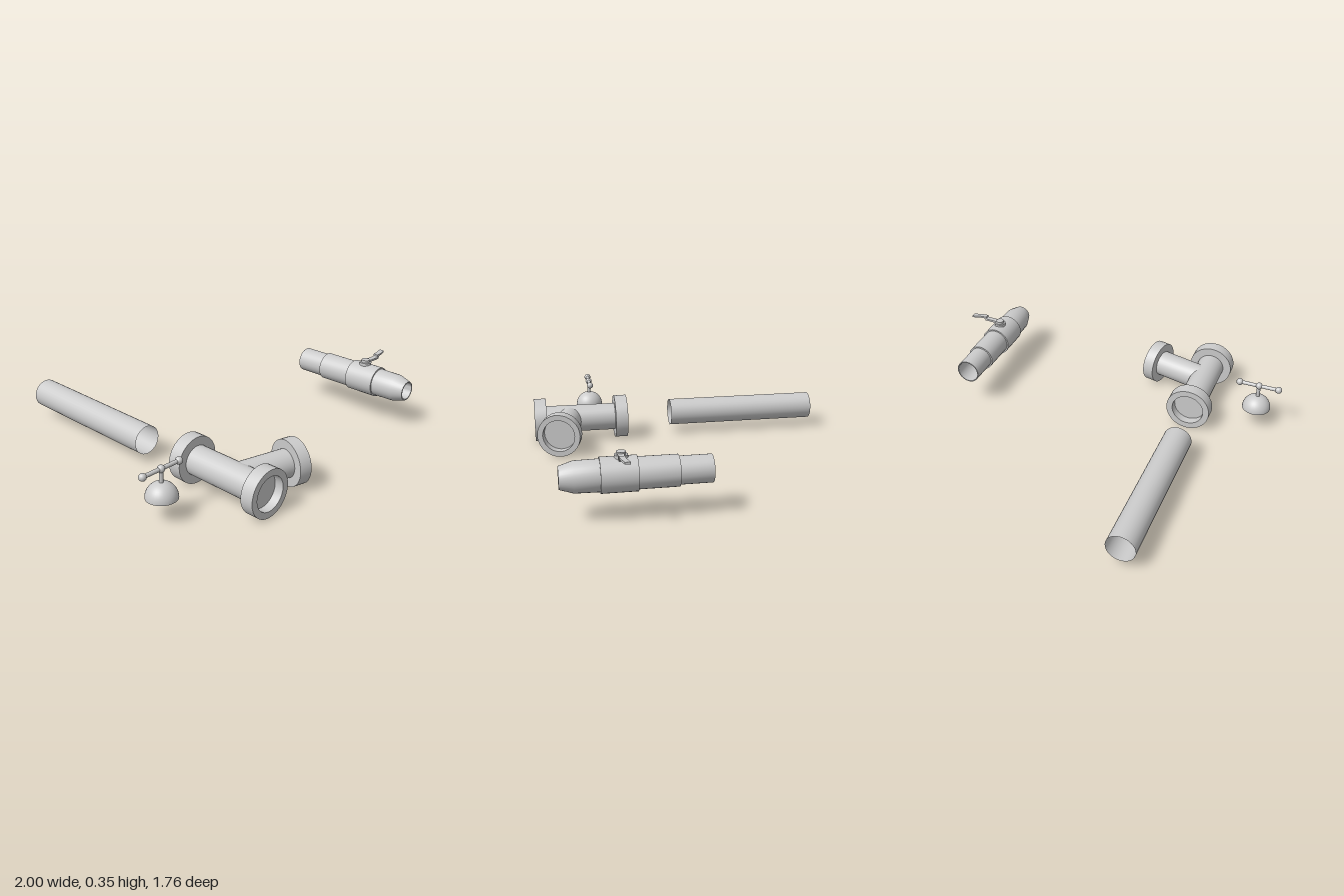
import * as THREE from 'three';
import { toCreasedNormals } from 'three/addons/utils/BufferGeometryUtils.js';

const material = new THREE.MeshStandardMaterial({ color: 0xcccccc, side: THREE.DoubleSide });

function addMesh(parent, name, geometry, x = 0, y = 0, z = 0) {
  const mesh = new THREE.Mesh(geometry, material);
  mesh.name = name;
  mesh.position.set(x, y, z);
  parent.add(mesh);
  return mesh;
}

// Turned part along z from [radius, z] pairs
function turned(profile, segments = 32) {
  const points = profile.map(([r, z]) => new THREE.Vector2(r, z));
  return toCreasedNormals(new THREE.LatheGeometry(points, segments).rotateX(Math.PI / 2), 0.5);
}

function addGroup(parent, name, x, y, z) {
  const group = new THREE.Group();
  group.name = name;
  group.position.set(x, y, z);
  parent.add(group);
  return group;
}

// Flat plate from a top outline of [x, z] pairs, with its underside at y
function plate(outline, y, height) {
  const shape = new THREE.Shape();
  outline.forEach(([x, z], i) => (i ? shape.lineTo(x, -z) : shape.moveTo(x, -z)));
  const geometry = new THREE.ExtrudeGeometry(shape, { depth: height, bevelEnabled: false });
  return geometry.rotateX(-Math.PI / 2).translate(0, y, 0);
}

function buildPipe(root) {
  const geometry = new THREE.CylinderGeometry(0.081, 0.081, 0.915, 32, 1, true).rotateX(Math.PI / 2);
  addMesh(root, 'straightPipe', geometry, -0.53, 0.135, -0.4275);
}

function buildJunction(root) {
  const junction = addGroup(root, 'branchJunction', -0.5, 0.135, 0);
  // Main run with a recessed socket at each end
  addMesh(junction, 'mainRun', turned([
    [0, 0.36], [0.094, 0.36], [0.094, 0.31], [0.13, 0.31], [0.13, 0.385], [0.082, 0.385],
    [0.082, 0.803], [0.13, 0.803], [0.13, 0.876], [0.094, 0.876], [0.094, 0.826], [0, 0.826],
  ]));
  // Angled branch, starting inside the main run
  const branch = addMesh(junction, 'sideBranch', turned([
    [0, 0], [0.077, 0], [0.077, 0.3], [0.126, 0.3], [0.126, 0.368],
    [0.094, 0.368], [0.094, 0.318], [0, 0.318],
  ]), 0, 0, 0.655);
  branch.rotation.y = THREE.MathUtils.degToRad(76);
}

function buildBallValve(root) {
  const valve = addGroup(root, 'leverValve', 0.814, 0.234, 0);
  // Stepped hollow body with a tapered nose
  addMesh(valve, 'valveBody', turned([
    [0.05, 0.2], [0.064, 0.2], [0.064, 0.04], [0.07, 0.04], [0.07, 0.205], [0.079, 0.205],
    [0.079, 0.405], [0.088, 0.405], [0.088, 0.586], [0.08, 0.586], [0.078, 0.71],
    [0.056, 0.78], [0.049, 0.78], [0.05, 0.2],
  ]));
  // Stem boss and cranked lever
  addMesh(valve, 'stemBoss', new THREE.CylinderGeometry(0.034, 0.034, 0.03, 24), 0.002, 0.085, 0.482);
  addMesh(valve, 'stemCap', new THREE.CylinderGeometry(0.024, 0.024, 0.022, 24), 0.002, 0.104, 0.482);
  addMesh(valve, 'leverArm', plate([
    [0, 0.465], [0.05, 0.472], [0.105, 0.475], [0.105, 0.503], [0.05, 0.502], [0, 0.498],
  ], 0.097, 0.012));
  const step = addMesh(valve, 'leverStep', new THREE.BoxGeometry(0.026, 0.012, 0.028), 0.1, 0.109, 0.489);
  step.rotation.z = 0.6;
  addMesh(valve, 'leverGrip', plate([
    [0.095, 0.474], [0.135, 0.47], [0.186, 0.456], [0.186, 0.484], [0.14, 0.498], [0.095, 0.503],
  ], 0.112, 0.011));
}

function buildHandle(root) {
  const handle = addGroup(root, 'domedHandle', -0.865, 0.123, 0.513);
  // Open bell, stem and crossbar with ball ends
  addMesh(handle, 'bell', new THREE.SphereGeometry(0.083, 32, 12, 0, Math.PI * 2, 0, Math.PI / 2));
  addMesh(handle, 'stem', new THREE.CylinderGeometry(0.011, 0.011, 0.075, 16), 0, 0.115, 0);
  addMesh(handle, 'crossbar', new THREE.CylinderGeometry(0.011, 0.011, 0.23, 16).rotateZ(Math.PI / 2), 0, 0.153, 0);
  for (const x of [-0.115, 0, 0.115]) {
    addMesh(handle, x ? 'endBall' : 'centreBall', new THREE.SphereGeometry(0.02, 20, 14), x, 0.153, 0);
  }
}

export function createModel() {
  const root = new THREE.Group();
  root.name = 'plumbingParts';
  buildPipe(root);
  buildJunction(root);
  buildBallValve(root);
  buildHandle(root);
  return root;
}
